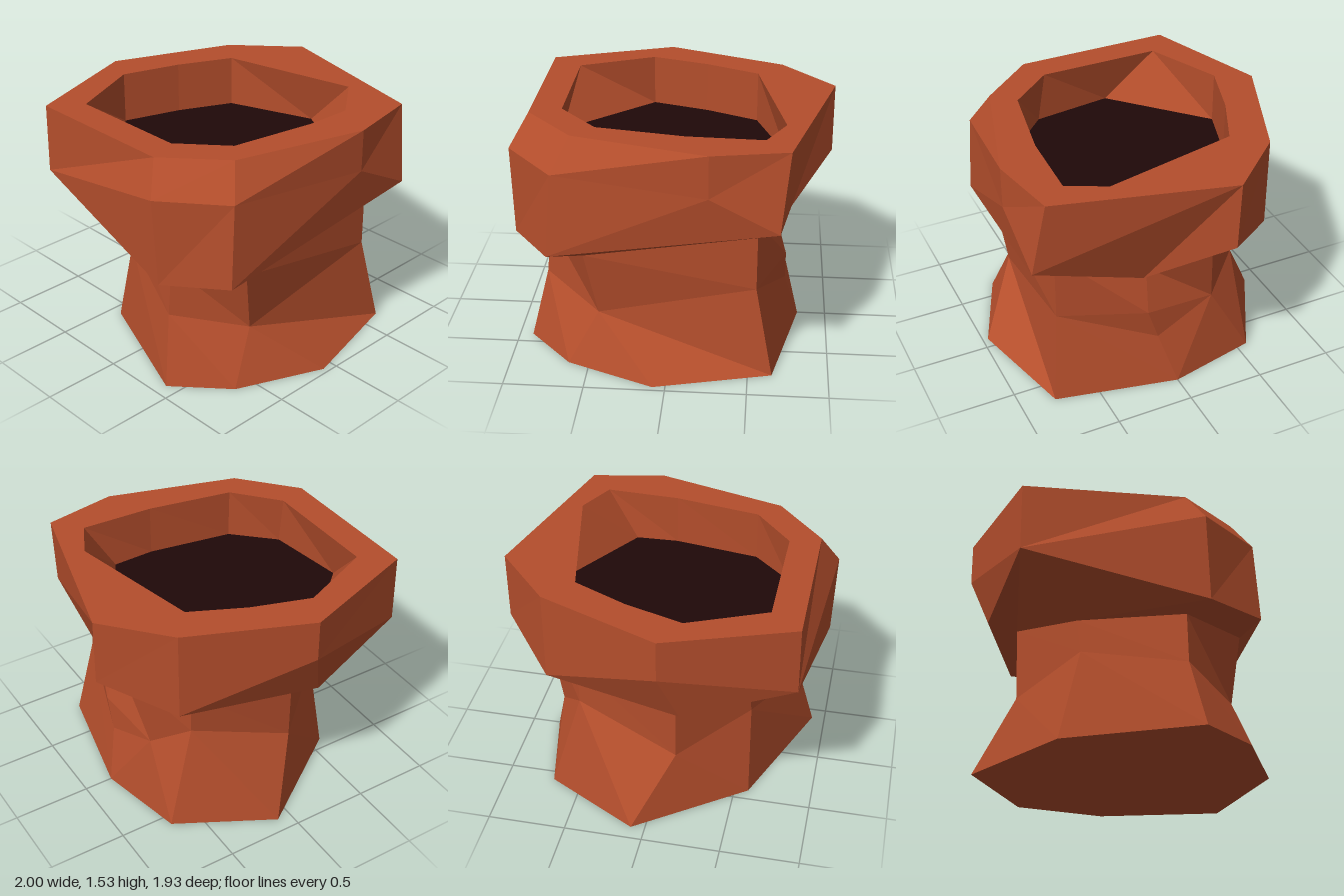
import * as THREE from 'three';

const clay = new THREE.MeshStandardMaterial({ color: 0xb44e2c });
clay.name = 'fired clay';
const dark = new THREE.MeshStandardMaterial({ color: 0x1f0809 });
dark.name = 'dark interior';

// Flat-shaded skin over closed rings listed bottom to top.
// rising[r] picks which diagonal splits the quads of band r.
function skin(rings, rising) {
  const pos = [];
  const tri = (...corners) => {
    const [a, b, c] = corners.map((p) => new THREE.Vector3(...p));
    if (b.clone().sub(a).cross(c.clone().sub(a)).length() > 1e-6) {
      for (const p of [a, b, c]) pos.push(p.x, p.y, p.z);
    }
  };
  for (let r = 0; r < rings.length - 1; r++) {
    const n = rings[r].length;
    for (let i = 0; i < n; i++) {
      const j = (i + 1) % n;
      const a = rings[r][i], b = rings[r][j], c = rings[r + 1][j], d = rings[r + 1][i];
      if (rising[r]) { tri(a, b, c); tri(a, c, d); }
      else { tri(a, b, d); tri(b, c, d); }
    }
  }
  const geo = new THREE.BufferGeometry();
  geo.setAttribute('position', new THREE.Float32BufferAttribute(pos, 3));
  geo.computeVertexNormals();
  return geo;
}

// Horizontal face through [x, z] points, optionally with a hole.
function cap(points, y, up, hole) {
  const s = up ? -1 : 1;
  const pts = (list) => list.map(([x, z]) => new THREE.Vector2(x, s * z));
  const shape = new THREE.Shape(pts(points));
  if (hole) shape.holes.push(new THREE.Path(pts(hole)));
  return new THREE.ShapeGeometry(shape).rotateX(s * Math.PI / 2).translate(0, y, 0);
}

const atHeight = (points, y) => points.map(([x, z]) => [x, y, z]);

export function createModel() {
  const group = new THREE.Group();
  const add = (name, geo, mat) => {
    const mesh = new THREE.Mesh(geo, mat);
    mesh.name = name;
    group.add(mesh);
  };

  // Nine columns, running from the front-right corner round the back;
  // neighbouring columns share a point where the facets merge.
  const base = [[0.65, 0.78], [0.815, 0], [0.815, 0], [0.69, -0.575], [0.09, -0.905],
    [-0.59, -0.42], [-0.915, 0.41], [-0.63, 0.73], [-0.08, 0.965]];
  const waist = [[0.54, 0.57, 0.71], [0.72, 0.54, 0.17], [0.67, 0.49, -0.3],
    [0.5, 0.66, -0.52], [-0.15, 0.43, -0.65], [-0.57, 0.58, -0.29],
    [-0.81, 0.44, 0.33], [-0.44, 0.34, 0.66], [-0.44, 0.34, 0.66]];
  const dent = waist.map((p, i) => (i === 1 ? [0.72, 0.33, 0.1] : p));
  const neck = [[0.54, 1.02, 0.71], [0.64, 0.83, 0.15], [0.8, 1.05, -0.22],
    [0.5, 0.94, -0.52], [-0.15, 0.9, -0.66], [-0.55, 0.8, -0.31],
    [-0.78, 0.77, 0.33], [-0.52, 0.76, 0.71], [-0.52, 0.76, 0.71]];
  const collarLow = [[0.67, 1.04, 0.9], [0.69, 0.8, 0.19], [1, 1.09, -0.27],
    [0.66, 0.95, -0.66], [-0.21, 0.92, -0.85], [-0.89, 1.09, -0.69],
    [-0.98, 0.775, 0.44], [-0.73, 0.79, 0.8], [0.25, 0.965, 0.87]];
  const collarMid = [[0.67, 1.04, 0.9], [0.69, 0.8, 0.19], [1, 1.09, -0.27],
    [0.66, 0.95, -0.66], [-0.1, 1.26, -0.97], [-0.89, 1.09, -0.69],
    [-1, 1.33, 0.42], [-0.69, 1.32, 0.78], [0.25, 1.26, 0.91]];
  const rim = [[0.72, 0.82], [1, -0.28], [1, -0.28], [0.66, -0.66], [-0.1, -0.97],
    [-0.885, -0.69], [-0.885, 0.32], [-0.58, 0.67], [0.25, 0.91]];

  add('stem', skin([atHeight(base, 0), dent, waist, neck], [false, false, false]), clay);
  add('collarUnderside', skin([neck, collarLow], [true]), clay);
  add('collar', skin([collarLow, collarMid, atHeight(rim, 1.53)], [true, true]), clay);

  // Opening and recessed floor, ordered the other way so the wall faces inward
  const mouth = [[0.16, -0.63], [0.5, -0.47], [0.69, 0.41], [0.57, 0.65], [0.1, 0.63],
    [-0.45, 0.53], [-0.69, 0.25], [-0.69, -0.54], [-0.21, -0.75]];
  const floor = [[0.16, -0.63], [0.5, -0.47], [0.7, 0.09], [0.375, 0.62], [0.1, 0.63],
    [-0.45, 0.54], [-0.7, 0.3], [-0.77, -0.22], [-0.21, -0.75]];
  add('innerWall', skin([atHeight(floor, 1.2), atHeight(mouth, 1.53)], [false]), clay);

  // Horizontal faces; doubled corner dropped from the outlines
  const outline = (list) => list.filter((_, i) => i !== 2);
  add('rimTop', cap(outline(rim), 1.53, true, mouth), clay);
  add('baseUnderside', cap(outline(base), 0, false), clay);
  add('innerFloor', cap(floor, 1.2, true), dark);

  return group;
}
